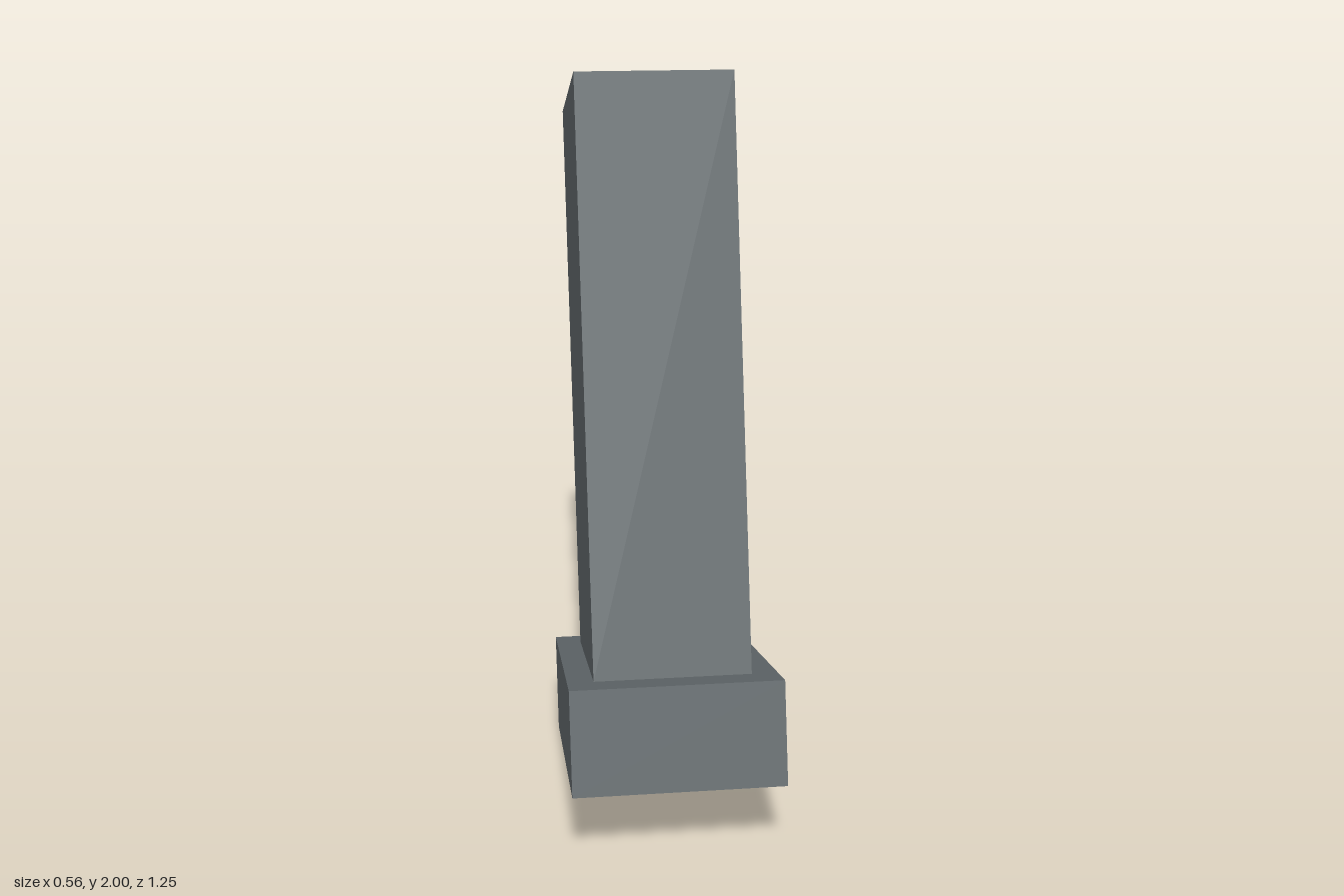
import * as THREE from 'three';

export function createModel() {
  const model = new THREE.Group();
  model.name = 'leaningPost';

  const slate = new THREE.MeshStandardMaterial({ color: 0x62696c });
  slate.name = 'slateGrey';

  // Everything stands on the tilted underside of the base, leaning backwards
  const post = new THREE.Group();
  post.name = 'tiltedPost';
  post.position.set(0, 0.125, 0.227);
  post.rotation.x = -0.3;
  model.add(post);

  const addBlock = (name, width, height, depth, bottom) => {
    const mesh = new THREE.Mesh(new THREE.BoxGeometry(width, height, depth), slate);
    mesh.name = name;
    mesh.position.y = bottom + height / 2;
    post.add(mesh);
  };

  addBlock('base', 0.56, 0.277, 0.843, 0);
  addBlock('shaft', 0.42, 1.587, 0.63, 0.277);

  return model;
}
